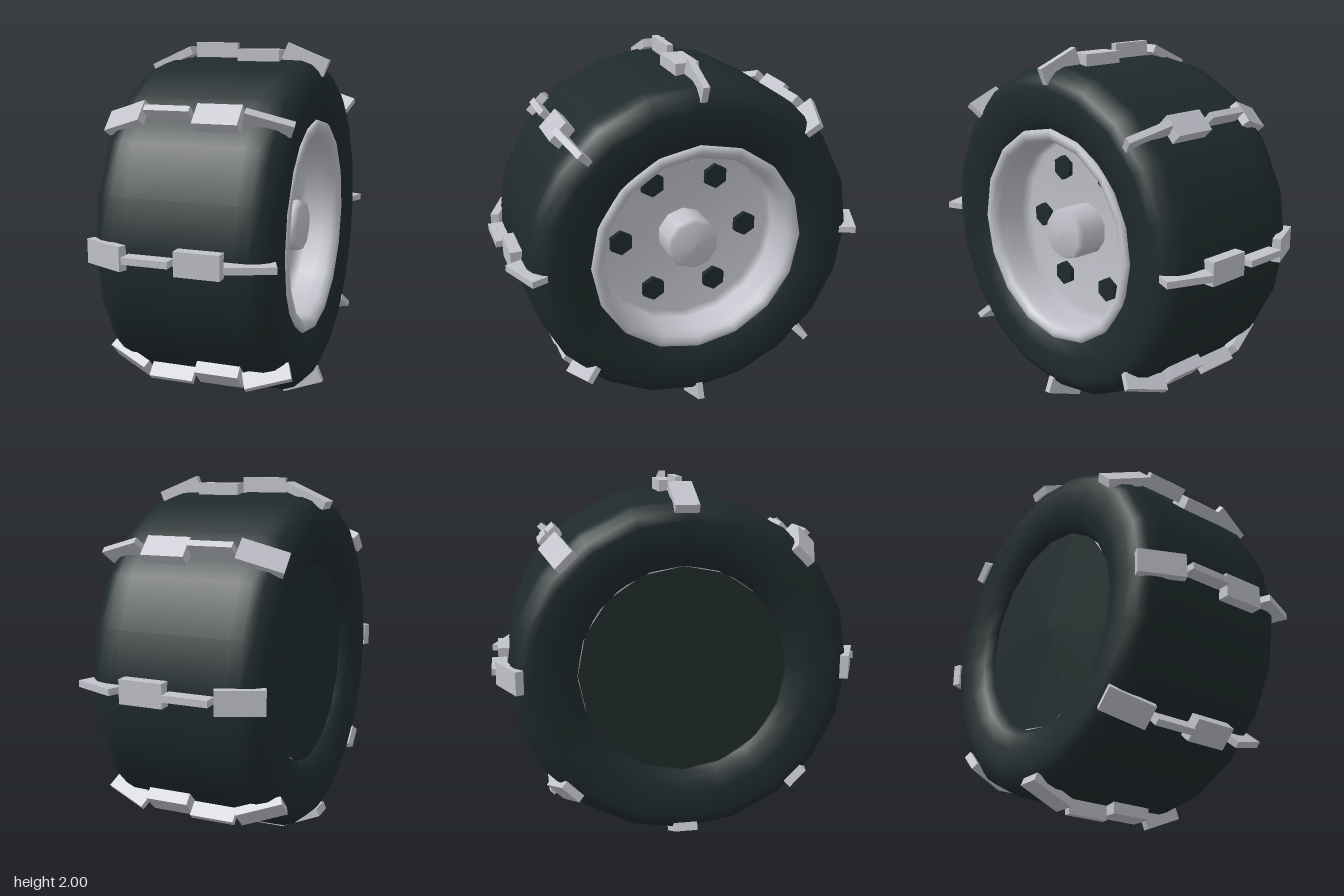
import * as THREE from 'three';

const rubber = new THREE.MeshStandardMaterial({ color: 0x1f2a2b });
rubber.name = 'dark rubber';
const metal = new THREE.MeshStandardMaterial({ color: 0xc1c2ca });
metal.name = 'light metal';

// Revolves [radius, x] points about the wheel axis (x).
function turned(name, points, sides, material) {
  const geometry = new THREE.LatheGeometry(points.map(([r, x]) => new THREE.Vector2(r, x)), sides);
  geometry.rotateZ(-Math.PI / 2);
  const mesh = new THREE.Mesh(geometry, material);
  mesh.name = name;
  return mesh;
}

// Cylinder lying along the wheel axis, starting on the given x.
function peg(name, radius, length, sides, x, y, z, material) {
  const geometry = new THREE.CylinderGeometry(radius, radius, length, sides);
  geometry.rotateZ(-Math.PI / 2);
  const mesh = new THREE.Mesh(geometry, material);
  mesh.name = name;
  mesh.position.set(x + length / 2, y, z);
  return mesh;
}

export function createModel() {
  const model = new THREE.Group();
  model.name = 'wheel';
  const wheel = new THREE.Group();
  wheel.name = 'wheelAssembly';
  wheel.position.y = 1;
  model.add(wheel);

  // Tyre with rounded shoulders
  wheel.add(turned('tyre', [
    [0.56, -0.37], [0.56, -0.41], [0.6, -0.45], [0.68, -0.483], [0.8, -0.488],
    [0.85, -0.467], [0.89, -0.425], [0.91, -0.37], [0.912, -0.3], [0.912, 0.28], [0.91, 0.35],
    [0.89, 0.405], [0.85, 0.447], [0.8, 0.47], [0.68, 0.465], [0.6, 0.435], [0.56, 0.4], [0.55, 0.34],
  ], 20, rubber));

  // Rim: rounded lip and deep dish in one softly shaded surface
  wheel.add(turned('rim', [
    [0.56, 0.38], [0.585, 0.41], [0.594, 0.432], [0.582, 0.448], [0.557, 0.45], [0.533, 0.435],
    [0.517, 0.405], [0.515, 0.34], [0.513, 0.25], [0.505, 0.185], [0, 0.18],
  ], 16, metal));

  // Closed inner side
  wheel.add(turned('backRing', [[0.45, -0.385], [0.56, -0.385]], 16, metal));
  wheel.add(turned('backCover', [[0, -0.405], [0.558, -0.405]], 16, rubber));

  // Hub with a softly domed cap
  const hub = turned('hub', [[0.145, 0.175], [0.145, 0.335], [0.133, 0.368], [0, 0.38]], 10, metal);
  hub.rotation.x = Math.PI / 10;
  wheel.add(hub);

  // Six wheel nuts
  for (let i = 0; i < 6; i++) {
    const a = i * Math.PI / 3;
    const nut = peg('wheelNut', 0.069, 0.035, 6, 0.177, 0.363 * Math.sin(a), 0.363 * Math.cos(a), rubber);
    nut.rotation.x = Math.PI / 2;
    wheel.add(nut);
  }
  wheel.add(peg('valve', 0.02, 0.14, 6, 0.175, 0.475, 0, metal));

  // Tread bars: [x, radius, length, height, width, tilt]
  const bars = [
    [-0.38, 0.906, 0.245, 0.045, 0.125, 0.42],
    [-0.135, 0.958, 0.24, 0.08, 0.035, 0],
    [0.118, 0.932, 0.235, 0.066, 0.125, 0],
    [0.368, 0.912, 0.245, 0.092, 0.035, -0.38],
  ];
  for (let i = 0; i < 8; i++) {
    const row = new THREE.Group();
    row.name = 'treadRow';
    row.rotation.x = i * Math.PI / 4;
    for (const [x, r, length, height, width, tilt] of bars) {
      const bar = new THREE.Mesh(new THREE.BoxGeometry(length, height, width), metal);
      bar.name = 'treadBar';
      bar.position.set(x, r, 0);
      bar.rotation.z = tilt;
      row.add(bar);
    }
    wheel.add(row);
  }
  return model;
}
